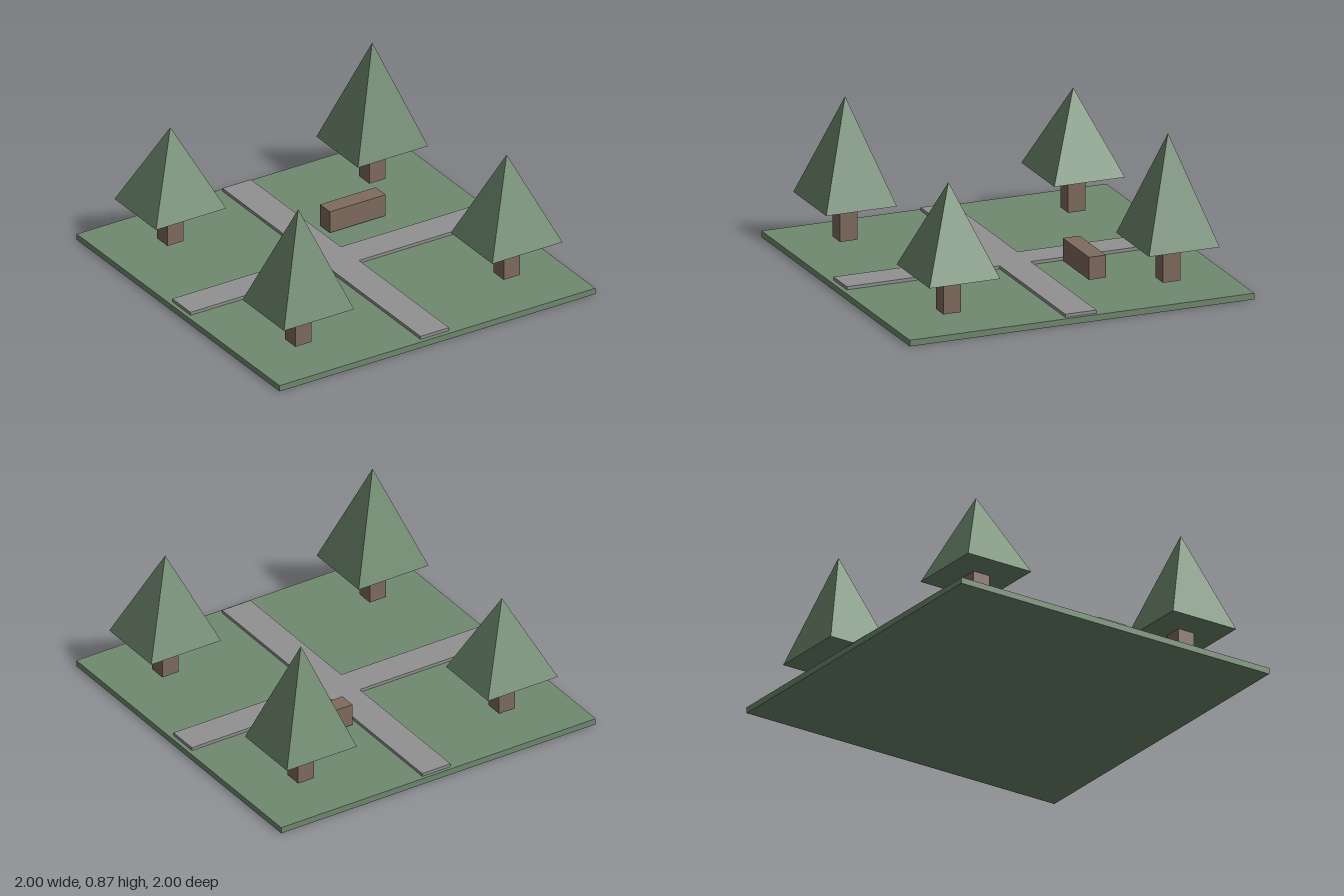
import * as THREE from 'three';

const material = (name, color) => {
  const m = new THREE.MeshStandardMaterial({ color, flatShading: true });
  m.name = name;
  return m;
};

export function createModel() {
  const green = material('leaf green', 0x708a70);
  const brown = material('wood brown', 0x806b5e);
  const grey = material('path grey', 0x929191);
  const park = new THREE.Group();
  park.name = 'park';

  const add = (parent, name, geometry, mat) => {
    const mesh = new THREE.Mesh(geometry, mat);
    mesh.name = name;
    parent.add(mesh);
    return mesh;
  };
  // Box given by its lower and upper corners
  const box = (parent, name, mat, [x0, y0, z0], [x1, y1, z1]) =>
    add(parent, name, new THREE.BoxGeometry(x1 - x0, y1 - y0, z1 - z0), mat)
      .position.set((x0 + x1) / 2, (y0 + y1) / 2, (z0 + z1) / 2);

  // Ground slab
  box(park, 'lawn', green, [-1, 0, -1], [1, 0.035, 1]);

  // Crossing paths as one raised cross
  const w = 0.09, e = 0.977;
  const cross = new THREE.Shape([
    [-w, -e], [w, -e], [w, -w], [e, -w], [e, w], [w, w],
    [w, e], [-w, e], [-w, w], [-e, w], [-e, -w], [-w, -w],
  ].map(([x, y]) => new THREE.Vector2(x, y)));
  const pathGeometry = new THREE.ExtrudeGeometry(cross, { depth: 0.018, bevelEnabled: false });
  pathGeometry.rotateX(-Math.PI / 2);
  add(park, 'crossPath', pathGeometry, grey).position.set(0, 0.035, -0.003);

  // Bench block
  box(park, 'bench', brown, [0.13, 0.048, -0.36], [0.483, 0.175, -0.262]);

  // Trees: square trunk under a four-sided crown
  const crownBase = 0.272;
  const trees = [
    ['backLeftTree', 0.647, -0.65, 0.872],
    ['backRightTree', -0.632, -0.65, 0.735],
    ['frontLeftTree', 0.673, 0.635, 0.775],
    ['frontRightTree', -0.663, 0.66, 0.85],
  ];
  for (const [name, x, z, top] of trees) {
    const tree = new THREE.Group();
    tree.name = name;
    tree.position.set(x, 0, z);
    box(tree, 'trunk', brown, [-0.051, 0.053, -0.051], [0.051, crownBase, 0.051]);
    const crown = new THREE.ConeGeometry(Math.SQRT1_2, top - crownBase, 4);
    crown.rotateY(Math.PI / 4).scale(0.444, 1, 0.41);
    add(tree, 'crown', crown, green).position.y = (top + crownBase) / 2;
    park.add(tree);
  }
  return park;
}
